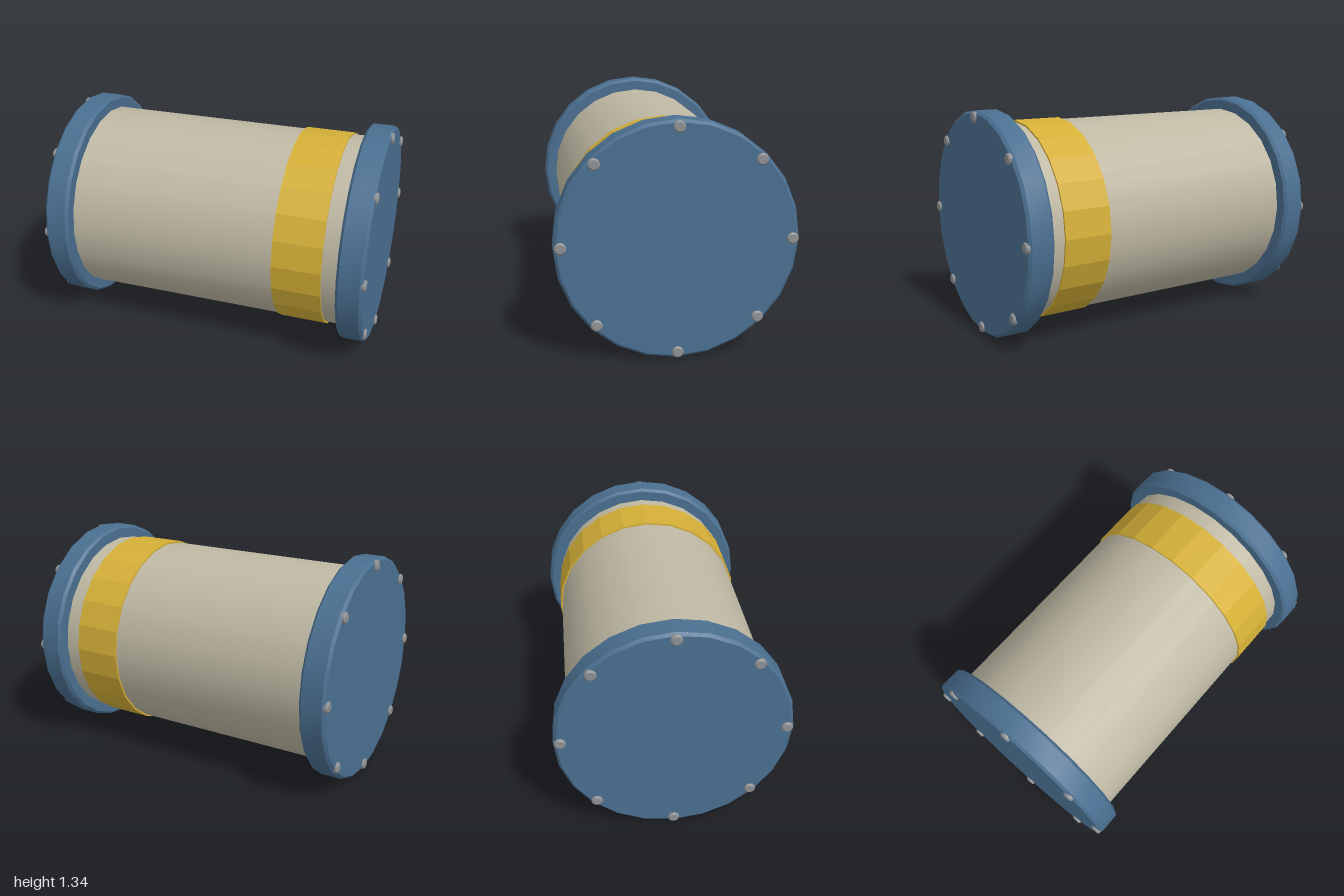
import * as THREE from 'three';
import { toCreasedNormals } from 'three/addons/utils/BufferGeometryUtils.js';

const AXIS_Y = 0.671;
const SIDES = 24;

function material(name, color, flatShading = false) {
  const m = new THREE.MeshStandardMaterial({ color, flatShading });
  m.name = name;
  return m;
}

// Solid of revolution around x; profile is [radius, x] from low x to high x
function turned(profile, sides) {
  const points = profile.map(([r, x]) => new THREE.Vector2(r, x));
  const geometry = new THREE.LatheGeometry(points, sides).rotateZ(-Math.PI / 2);
  return toCreasedNormals(geometry, 0.56);
}

function addPart(parent, name, geometry, mat) {
  const mesh = new THREE.Mesh(geometry, mat);
  mesh.name = name;
  parent.add(mesh);
  return mesh;
}

export function createModel() {
  const model = new THREE.Group();
  model.name = 'pipeSection';
  const beige = material('pipe beige', 0xbeb8a3);
  const blue = material('flange blue', 0x4a6f90);
  const yellow = material('band yellow', 0xd4af37, true);
  const grey = material('bolt grey', 0x8f9194);

  // Main pipe, ending just inside the flange faces
  addPart(model, 'pipe', turned(
    [[0, -0.97], [0.592, -0.97], [0.592, 0.97], [0, 0.97]], SIDES), beige).position.y = AXIS_Y;

  // Faceted marking band
  const band = new THREE.CylinderGeometry(0.603, 0.603, 0.293, SIDES).rotateZ(-Math.PI / 2);
  addPart(model, 'markingBand', band, yellow).position.set(0.588, AXIS_Y, 0);

  // Chamfered flange and domed bolt, both facing +x
  const flange = turned(
    [[0, 0.832], [0.655, 0.832], [0.671, 0.848], [0.671, 0.97], [0.655, 0.986], [0, 0.986]], SIDES);
  const bolt = turned(
    [[0, -0.01], [0.033, -0.01], [0.033, 0.007], [0.025, 0.014], [0, 0.014]], 12);

  for (const [name, turn] of [['leftEnd', 0], ['rightEnd', Math.PI]]) {
    const end = new THREE.Group();
    end.name = name;
    end.position.y = AXIS_Y;
    end.rotation.y = turn;
    addPart(end, 'flange', flange, blue);
    // Ring of eight bolts
    for (let i = 0; i < 8; i++) {
      const a = (i / 8) * Math.PI * 2;
      addPart(end, 'bolt', bolt, grey)
        .position.set(0.986, Math.cos(a) * 0.632, Math.sin(a) * 0.632);
    }
    model.add(end);
  }
  return model;
}
